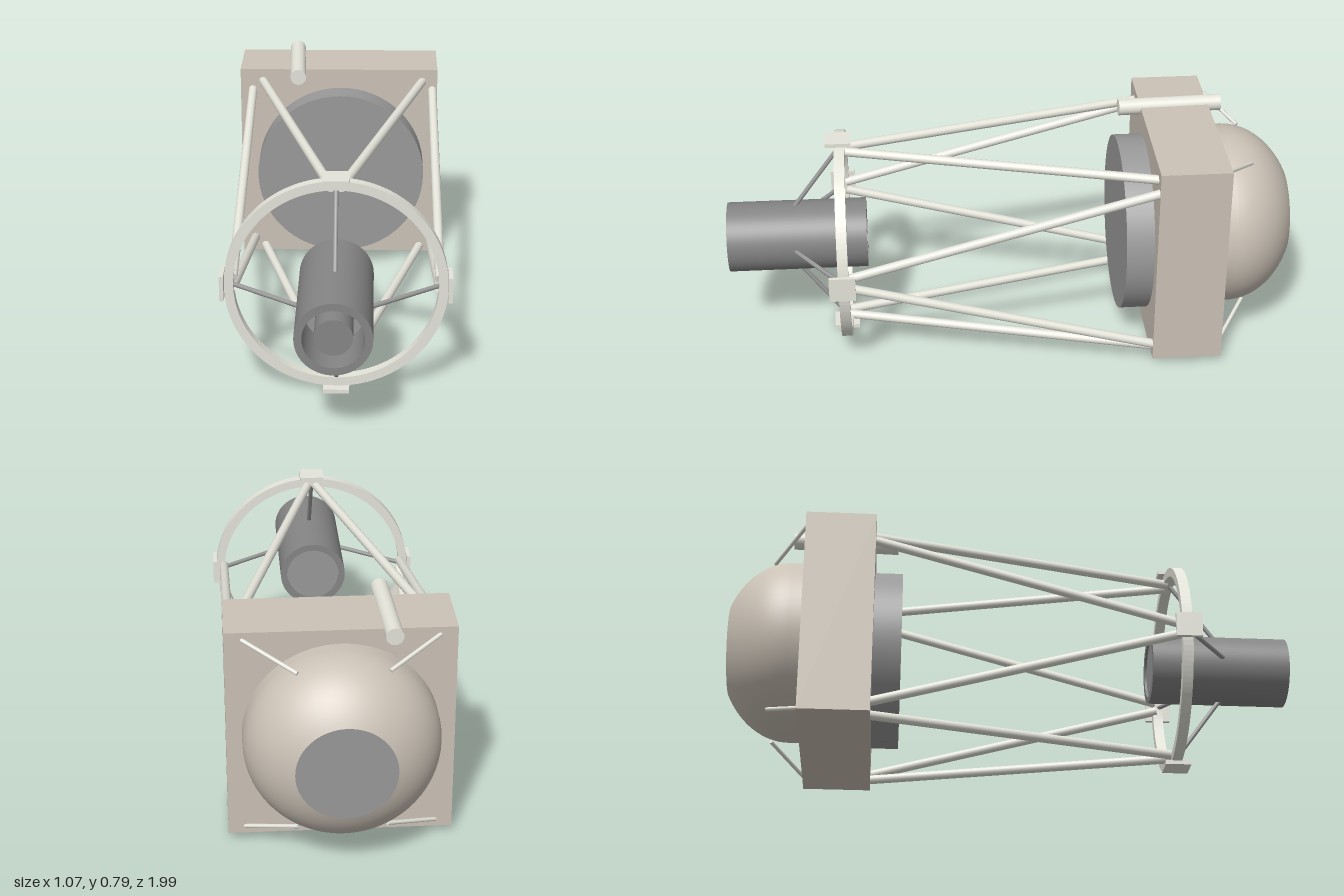
import * as THREE from 'three';

const mat = (color, side = THREE.FrontSide) => new THREE.MeshStandardMaterial({ color, side });

export function createModel() {
  const pale = mat(0xe4e4da), beige = mat(0xcbc2b6), dark = mat(0x858585), glass = mat(0x999999);
  const root = new THREE.Group();
  root.name = 'telescope';
  const tilt = new THREE.Group(); // the optical axis is turned 15 degrees to the side
  tilt.name = 'opticalTube';
  tilt.rotation.y = -Math.PI / 12;
  root.add(tilt);

  const AXIS_Y = 0.38, BOX_X = -0.0135, BOX_Y = 0.394;
  const V = (x, y, z) => new THREE.Vector3(x, y, z);

  const add = (name, geometry, material, x = 0, y = 0, z = 0) => {
    const mesh = new THREE.Mesh(geometry, material);
    mesh.name = name;
    mesh.position.set(x, y, z);
    tilt.add(mesh);
    return mesh;
  };
  const rod = (name, a, b, radius, material, sides = 16) => {
    const mesh = add(name, new THREE.CylinderGeometry(radius, radius, a.distanceTo(b), sides), material);
    mesh.position.copy(a).add(b).multiplyScalar(0.5);
    mesh.quaternion.setFromUnitVectors(V(0, 1, 0), b.clone().sub(a).normalize());
    return mesh;
  };
  // hard-edged lathe around z: each profile segment [r, z] gets its own normals
  const turned = (name, points, material, x, y) => {
    for (let i = 0; i < points.length - 1; i++) {
      const pair = [points[i], points[i + 1]].map(([r, z]) => new THREE.Vector2(r, z));
      add(name, new THREE.LatheGeometry(pair, 64).rotateX(Math.PI / 2), material, x, y);
    }
  };

  // Rear box housing
  add('mirrorBox', new THREE.BoxGeometry(0.74, 0.74, 0.243), beige, BOX_X, BOX_Y, -0.6055);

  // Main mirror cell on the front of the box
  rod('mirrorCell', V(-0.005, AXIS_Y, -0.5), V(-0.005, AXIS_Y, -0.387), 0.312, glass, 64);

  // Rear dome: short cylinder, squashed sphere, flat end
  rod('domeBase', V(BOX_X, BOX_Y + 0.003, -0.775), V(BOX_X, BOX_Y + 0.003, -0.72), 0.319, beige, 64);
  const profile = [];
  for (let i = 0; i <= 16; i++) {
    const a = (1 - i / 16) * 1.04;
    profile.push(new THREE.Vector2(0.319 * Math.cos(a), -0.775 - 0.248 * Math.sin(a)));
  }
  add('dome', new THREE.LatheGeometry(profile, 64).rotateX(Math.PI / 2), beige, BOX_X, BOX_Y + 0.003);
  const cap = add('domeCap', new THREE.CircleGeometry(profile[0].x, 64), glass, BOX_X, BOX_Y + 0.003, profile[0].y);
  cap.rotation.y = Math.PI;

  // Thin braces from the box corners to the dome
  for (const sx of [-1, 1]) for (const sy of [-1, 1]) {
    rod('domeBrace', V(BOX_X + sx * 0.315, BOX_Y + sy * 0.345, -0.725),
      V(BOX_X + sx * 0.145, BOX_Y + sy * 0.28, -0.838), 0.007, pale, 10);
  }

  // Front ring
  const ring = new THREE.Shape().absarc(0, 0, 0.368, 0, Math.PI * 2);
  ring.holes.push(new THREE.Path().absarc(0, 0, 0.337, 0, Math.PI * 2, true));
  add('frontRing', new THREE.ExtrudeGeometry(ring, { depth: 0.036, bevelEnabled: false, curveSegments: 64 }),
    pale, 0, AXIS_Y, 0.57);

  // Four ring plates and the vanes that carry the secondary barrel
  for (let i = 0; i < 4; i++) {
    const a = i * Math.PI / 2, c = Math.cos(a), s = Math.sin(a);
    const plate = add('ringPlate', new THREE.BoxGeometry(0.014, 0.088, 0.09), pale,
      c * 0.374, AXIS_Y + s * 0.374, 0.592);
    plate.rotation.z = a;
    rod('vane', V(c * 0.345, AXIS_Y + s * 0.345, 0.59), V(c * 0.115, AXIS_Y + s * 0.115, 0.757), 0.008, glass, 10);
  }

  // Eight truss tubes: a pair from each plate to the nearest two box corners
  for (const s of [-1, 1]) for (const t of [-1, 1]) {
    rod('sideTruss', V(s * 0.34, AXIS_Y + t * 0.016, 0.58),
      V(s * 0.338, AXIS_Y + t * 0.305, -0.49), 0.016, pale);
    rod('verticalTruss', V(t * 0.016, AXIS_Y + s * 0.337, 0.58),
      V(t * 0.3, AXIS_Y + s * 0.337, -0.49), 0.016, pale);
  }

  // Secondary barrel, recessed at both ends, with a core in the front recess
  turned('barrel', [[0.099, 0.515], [0.099, 0.505], [0.123, 0.505], [0.123, 0.993], [0.098, 0.993], [0.098, 0.8]]
    .reverse(), mat(0x858585, THREE.DoubleSide), 0, AXIS_Y);
  rod('secondaryMirror', V(0, AXIS_Y, 0.513), V(0, AXIS_Y, 0.8), 0.1, glass, 48);
  rod('barrelCore', V(0, AXIS_Y, 0.79), V(0, AXIS_Y, 0.98), 0.061, dark, 48);

  // Finder tube on top of the box
  rod('finderTube', V(-0.178, 0.758, -0.774), V(-0.163, 0.758, -0.406), 0.029, pale, 32);

  return root;
}
